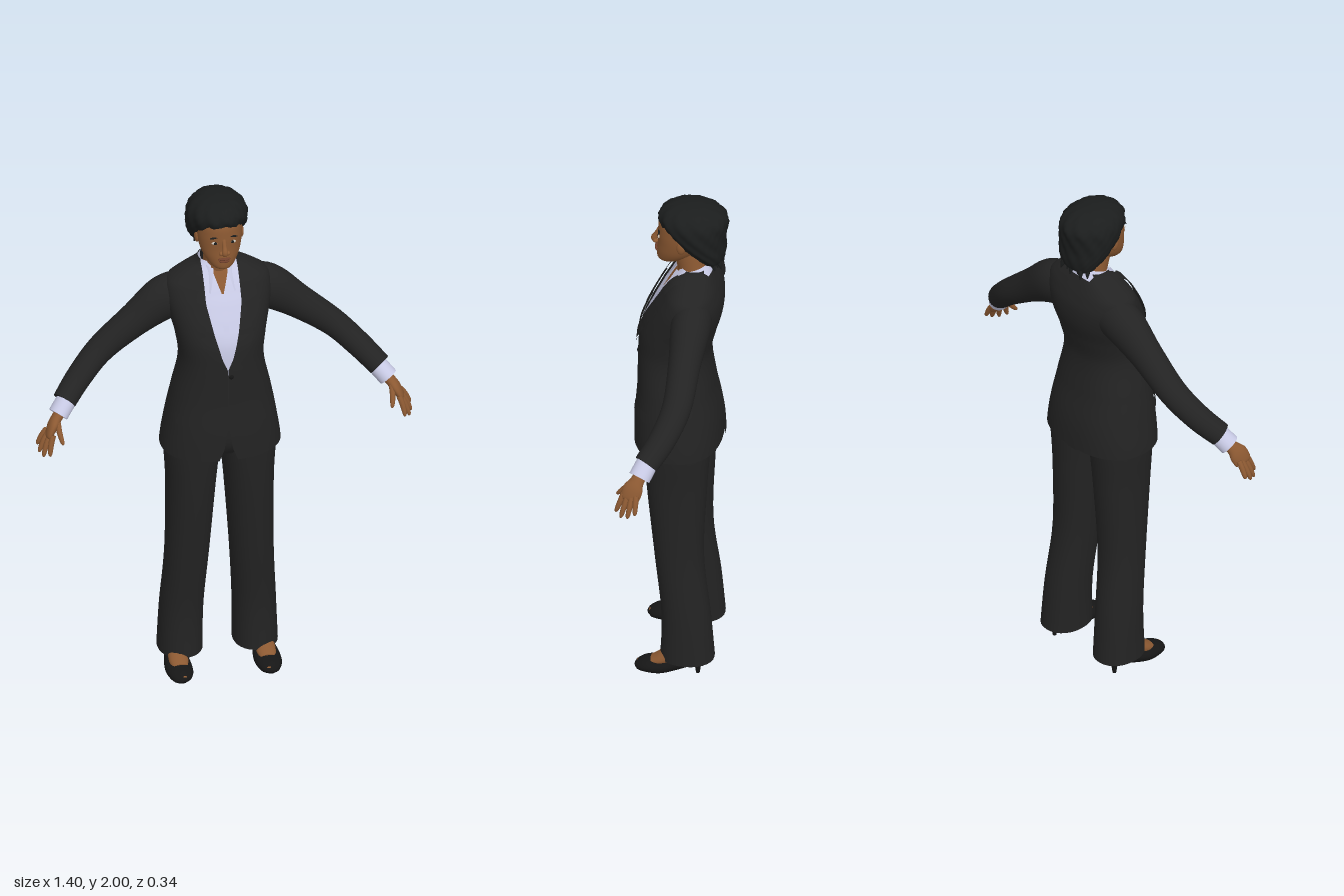
import * as THREE from 'three';

const mat = (name, color, double) => {
  const m = new THREE.MeshStandardMaterial({ color });
  m.name = name;
  if (double) m.side = THREE.DoubleSide;
  return m;
};
const M = {
  suit: mat('black suit', 0x232323, true),
  shirt: mat('pale shirt', 0xc9cbe6, true),
  skin: mat('brown skin', 0x8c5932, true),
  hair: mat('black hair', 0x1b1d1d),
  shoe: mat('black shoe', 0x161616),
  lip: mat('lip brown', 0x70402c),
  eye: mat('eye white', 0xc9c0b4),
};

const spow = (v, p) => Math.sign(v) * Math.abs(v) ** p;
const cubic = (a, b, c, d, t) =>
  b + 0.5 * t * (c - a + t * (2 * a - 5 * b + 4 * c - d + t * (3 * (b - c) + d - a)));
const smooth = (rows, i, f) => {
  const r = k => rows[Math.max(0, Math.min(rows.length - 1, k))];
  return rows[0].map((_, k) => cubic(r(i - 1)[k], r(i)[k], r(i + 1)[k], r(i + 2)[k], f));
};
// Piecewise linear profile of [y, value] pairs
const lerpY = (tab, y) => {
  if (y <= tab[0][0]) return tab[0][1];
  for (let i = 1; i < tab.length; i++) {
    const [a, b] = [tab[i - 1], tab[i]];
    if (y <= b[0]) return a[1] + (b[1] - a[1]) * (y - a[0]) / (b[0] - a[0]);
  }
  return tab[tab.length - 1][1];
};

// Surface from rows of points; 'around' may wrap
function grid(rows, closed) {
  const n = rows[0].length, pos = rows.flat().flatMap(p => [p.x, p.y, p.z]), idx = [];
  for (let i = 0; i < rows.length - 1; i++) {
    for (let j = 0; j < (closed ? n : n - 1); j++) {
      const k = (j + 1) % n, a = i * n + j, b = i * n + k;
      idx.push(a, b, a + n, b, b + n, a + n);
    }
  }
  const g = new THREE.BufferGeometry();
  g.setAttribute('position', new THREE.Float32BufferAttribute(pos, 3));
  g.setIndex(idx);
  g.computeVertexNormals();
  return g;
}

// Capped tube through [x, y, z, radius along side, radius across]
function sweep(rows, { side = [1, 0, 0], axis = null, n = 28, steps = 6, p = 1, bump = null } = {}) {
  const samples = [];
  for (let i = 0; i < rows.length - 1; i++)
    for (let s = 0; s < steps; s++) samples.push(smooth(rows, i, s / steps));
  samples.push(rows[rows.length - 1]);
  const C = samples.map(s => new THREE.Vector3(s[0], s[1], s[2]));
  const rings = samples.map((s, i) => {
    const t = axis ? new THREE.Vector3(...axis)
      : C[Math.min(i + 1, C.length - 1)].clone().sub(C[Math.max(i - 1, 0)]).normalize();
    const u = new THREE.Vector3(...side);
    u.addScaledVector(t, -u.dot(t)).normalize();
    const v = t.clone().cross(u);
    return Array.from({ length: n }, (_, j) => {
      const a = j / n * Math.PI * 2, k = bump ? bump(a, C[i].y) : 1;
      return C[i].clone().addScaledVector(u, spow(Math.cos(a), p) * s[3] * k)
        .addScaledVector(v, spow(Math.sin(a), p) * s[4] * k);
    });
  });
  const last = rings.length - 1, point = c => Array.from({ length: n }, () => c);
  return grid([point(C[0]), rings[0], ...rings, rings[last], point(C[last])], true);
}

// Torso profile: y, half width, front z, back z
const TORSO = [
  [0.972, 0.222, 0.168, -0.157], [1.08, 0.207, 0.167, -0.15], [1.2, 0.185, 0.158, -0.128],
  [1.35, 0.156, 0.156, -0.112], [1.45, 0.166, 0.148, -0.132], [1.53, 0.185, 0.118, -0.153],
  [1.6, 0.197, 0.083, -0.155], [1.655, 0.187, 0.052, -0.14], [1.69, 0.135, 0.03, -0.125],
  [1.72, 0.08, 0.012, -0.112], [1.735, 0.07, 0.005, -0.105],
];
const P = 0.86;
function torsoAt(y) {
  let i = 0;
  while (i < TORSO.length - 2 && y > TORSO[i + 1][0]) i++;
  return smooth(TORSO, i, (y - TORSO[i][0]) / (TORSO[i + 1][0] - TORSO[i][0]));
}
function torsoPoint(y, a, off) {
  const [, rx, zf, zb] = torsoAt(y);
  return new THREE.Vector3((rx + off) * spow(Math.sin(a), P), y + (y > 1.5 ? off * 0.6 : 0),
    (zf + zb) / 2 + ((zf - zb) / 2 + off) * spow(Math.cos(a), P));
}
const angleAt = (y, x) => Math.asin(Math.min(0.95, x / torsoAt(y)[1]) ** (1 / P));
// Cloth patch on the torso between two angles given by height
function patch(y0, y1, lo, hi, off, nu = 16, nv = 24) {
  return grid(Array.from({ length: nv + 1 }, (_, i) => {
    const y = y0 + (y1 - y0) * i / nv, a = lo(y), b = hi(y);
    return Array.from({ length: nu + 1 }, (_, j) => torsoPoint(y, a + (b - a) * j / nu, off));
  }));
}

export function createModel() {
  const model = new THREE.Group();
  model.name = 'womanInSuit';
  const add = (name, geo, m) => {
    const mesh = new THREE.Mesh(geo, m);
    mesh.name = name;
    model.add(mesh);
    return mesh;
  };
  const ball = (name, m, c, s) => {
    const b = add(name, new THREE.SphereGeometry(1, 20, 14), m);
    b.position.set(...c);
    b.scale.set(...s);
    return b;
  };
  const Y = [0, 1, 0];

  // Jacket, open in a V over the shirt and cut away at the hem
  const vEdge = [[0.972, 0.035], [1.02, 0.016], [1.12, 0.002], [1.355, 0.001], [1.4, 0.02],
    [1.5, 0.046], [1.6, 0.066], [1.7, 0.066]];
  const open = y => angleAt(y, lerpY(vEdge, y));
  add('jacket', patch(0.972, 1.735, open, y => Math.PI * 2 - open(y), 0, 72, 72), M.suit);
  add('backVent', patch(0.972, 1.16, () => Math.PI - 0.02, () => Math.PI + 0.14, 0.005, 6, 8), M.suit);
  ball('jacketButton', M.shoe, [0.012, 1.325, 0.156], [0.009, 0.009, 0.005]);
  add('hips', sweep([[0, 0.95, 0, 0.15, 0.09], [0, 1.02, 0, 0.195, 0.12], [0, 1.2, 0, 0.16, 0.11]],
    { axis: Y }), M.suit);

  // Open neck and shirt
  add('chest', patch(1.56, 1.735, () => -1, () => 1, -0.012), M.skin);
  add('neck', sweep([[0, 1.64, -0.055, 0.06, 0.06], [0, 1.72, -0.04, 0.052, 0.054],
    [0, 1.8, -0.02, 0.054, 0.056]], { axis: Y }), M.skin);
  add('shirtPlacket', patch(1.35, 1.63, y => -angleAt(y, 0.011), y => angleAt(y, 0.011), -0.002, 4), M.shirt);

  const lapelWidth = [[1.36, 0], [1.45, 0.05], [1.59, 0.072], [1.6, 0.045], [1.612, 0.06], [1.7, 0.035]];
  for (const s of [1, -1]) {
    const side = s > 0 ? 'left' : 'right';
    const both = (lo, hi) => s > 0 ? [lo, hi] : [y => -hi(y), y => -lo(y)];
    const mx = rows => rows.map(([x, ...r]) => [x * s, ...r]);

    add(side + 'Shirt', patch(1.33, 1.735, ...both(
      y => angleAt(y, lerpY([[1.62, 0], [1.72, 0.036]], y)), () => 1.25), -0.006), M.shirt);
    add(side + 'Lapel', patch(1.36, 1.715, ...both(open,
      y => angleAt(y, lerpY(vEdge, y) + lerpY(lapelWidth, y))), 0.008, 8, 50), M.suit);
    add(side + 'PocketFlap', patch(1.115, 1.155, ...both(
      y => angleAt(y, 0.085), y => angleAt(y, 0.178)), 0.006, 8, 4), M.suit);

    // Arm
    add(side + 'Sleeve', sweep(mx([[0.11, 1.585, -0.06, 0.07, 0.08], [0.19, 1.565, -0.06, 0.073, 0.085],
      [0.3, 1.488, -0.055, 0.06, 0.064], [0.43, 1.385, -0.045, 0.054, 0.051],
      [0.52, 1.3, -0.005, 0.05, 0.047], [0.587, 1.233, 0.045, 0.046, 0.044]]), { side: [0, 0, 1] }), M.suit);
    add(side + 'Cuff', sweep(mx([[0.56, 1.255, 0.03, 0.04, 0.037], [0.615, 1.19, 0.066, 0.041, 0.037]]),
      { side: [0, 0, 1] }), M.shirt);
    add(side + 'Palm', sweep(mx([[0.59, 1.215, 0.052, 0.024, 0.02], [0.622, 1.18, 0.073, 0.026, 0.02],
      [0.64, 1.155, 0.086, 0.037, 0.019], [0.655, 1.125, 0.095, 0.035, 0.014],
      [0.659, 1.117, 0.097, 0.026, 0.008]]), { side: [-0.15, 0.1, 1] }), M.skin);
    const fingers = { // base and tip
      indexFinger: [[0.645, 1.135, 0.12], [0.661, 1.063, 0.147]],
      middleFinger: [[0.653, 1.13, 0.105], [0.682, 1.052, 0.126]],
      ringFinger: [[0.658, 1.13, 0.088], [0.693, 1.058, 0.1]],
      littleFinger: [[0.66, 1.137, 0.072], [0.695, 1.075, 0.072]],
      thumb: [[0.622, 1.172, 0.095], [0.612, 1.108, 0.15]],
    };
    for (const [name, [a, b]] of Object.entries(fingers)) {
      const at = (t, r) => [...a.map((v, k) => v + (b[k] - v) * t + (k === 0 ? 0.012 * t * (1 - t) : 0)), r, r];
      add(side + name[0].toUpperCase() + name.slice(1), sweep(
        mx([at(0, 0.011), at(0.4, 0.0105), at(0.8, 0.0085), at(0.96, 0.005), at(1, 0.001)]),
        { side: [0, 0, 1], n: 10, steps: 3 }), M.skin);
    }

    // Leg and shoe
    add(side + 'TrouserLeg', sweep(mx([[0.14, 0.063, -0.043, 0.083, 0.1], [0.135, 0.25, -0.037, 0.08, 0.09],
      [0.12, 0.5, -0.01, 0.081, 0.09], [0.108, 0.8, 0, 0.091, 0.111], [0.104, 0.98, 0, 0.103, 0.122],
      [0.1, 1.1, 0, 0.095, 0.12]]), { axis: Y, p: 0.92 }), M.suit);
    add(side + 'Foot', sweep(mx([[0.163, 0.045, 0.085, 0.028, 0.014], [0.163, 0.056, 0.05, 0.036, 0.024],
      [0.16, 0.09, -0.005, 0.034, 0.032], [0.155, 0.14, -0.04, 0.03, 0.03]])), M.skin);
    add(side + 'Shoe', sweep(mx([[0.163, 0.014, 0.143, 0.012, 0.008], [0.164, 0.02, 0.132, 0.032, 0.018],
      [0.165, 0.027, 0.1, 0.047, 0.026], [0.165, 0.03, 0.05, 0.05, 0.029], [0.163, 0.047, -0.01, 0.041, 0.029],
      [0.16, 0.073, -0.065, 0.036, 0.033], [0.16, 0.08, -0.098, 0.016, 0.022]])), M.shoe);
    ball(side + 'Toes', M.skin, [0.16 * s, 0.03, 0.134], [0.015, 0.008, 0.008]);
    const heel = add(side + 'Heel', new THREE.CylinderGeometry(0.016, 0.007, 0.065, 14), M.shoe);
    heel.position.set(0.16 * s, 0.0325, -0.084);

    // Face details
    ball(side + 'Eye', M.eye, [0.032 * s, 1.862, 0.077], [0.014, 0.006, 0.005]);
    ball(side + 'Iris', M.hair, [0.032 * s, 1.862, 0.08], [0.006, 0.006, 0.0035]);
    ball(side + 'Eyebrow', M.hair, [0.034 * s, 1.884, 0.076], [0.018, 0.003, 0.005]).rotation.z = -0.12 * s;
    ball(side + 'Nostril', M.skin, [0.012 * s, 1.824, 0.093], [0.009, 0.008, 0.01]);
    ball(side + 'Ear', M.skin, [0.083 * s, 1.848, -0.01], [0.009, 0.026, 0.016]);
  }

  // Shirt collar folded round the neck, lower at the front
  add('shirtCollar', grid(Array.from({ length: 6 }, (_, i) => {
    const k = 1 - i / 5, a0 = 0.4 + 0.15 * k;
    return Array.from({ length: 41 }, (_, j) => {
      const a = a0 + (Math.PI * 2 - 2 * a0) * j / 40, f = (1 + Math.cos(a)) / 2;
      return new THREE.Vector3(Math.sin(a) * (0.062 + 0.024 * k),
        1.755 - 0.045 * f - k * (0.035 + 0.05 * f),
        -0.045 + Math.cos(a) * (0.064 + k * (0.01 + 0.052 * f)));
    });
  })), M.shirt);

  // Head
  add('head', sweep([[0, 1.742, 0.045, 0.018, 0.024], [0, 1.755, 0.04, 0.042, 0.047],
    [0, 1.79, 0.016, 0.066, 0.073], [0, 1.83, 0, 0.079, 0.086], [0, 1.88, -0.01, 0.085, 0.095],
    [0, 1.93, -0.018, 0.082, 0.095], [0, 1.97, -0.02, 0.05, 0.06]], { axis: Y, n: 36 }), M.skin);
  add('nose', sweep([[0, 1.88, 0.078, 0.008, 0.006], [0, 1.85, 0.089, 0.009, 0.01],
    [0, 1.828, 0.099, 0.012, 0.013], [0, 1.816, 0.095, 0.008, 0.007]], { n: 14 }), M.skin);
  ball('upperLip', M.lip, [0, 1.796, 0.088], [0.023, 0.005, 0.009]);
  ball('lowerLip', M.lip, [0, 1.786, 0.087], [0.02, 0.006, 0.009]);

  // Short wavy hair, full at the back, with a few loose tufts
  const wave = (a, y) => 1 + 0.018 * Math.sin(a * 11 + y * 70) + 0.014 * Math.sin(a * 23 - y * 130);
  add('hair', sweep([[0, 1.757, -0.12, 0.05, 0.025], [0, 1.775, -0.115, 0.075, 0.045],
    [0, 1.81, -0.098, 0.095, 0.068], [0, 1.85, -0.074, 0.108, 0.091], [0, 1.9, -0.053, 0.113, 0.117],
    [0, 1.94, -0.044, 0.108, 0.127], [0, 1.97, -0.04, 0.088, 0.106], [0, 1.99, -0.037, 0.054, 0.066],
    [0, 1.997, -0.036, 0.01, 0.012]], { axis: Y, n: 80, bump: wave }), M.hair);
  for (let i = 0; i < 9; i++) {
    const x = (i - 4) * 0.014, z = -0.13 + 0.012 * Math.cos(i * 2.3);
    add('napeTuft', sweep([[x, 1.785, z, 0.012, 0.012], [x * 1.1, 1.765, z - 0.008, 0.009, 0.009],
      [x * 1.2, 1.745 + 0.006 * Math.sin(i * 4), z - 0.014, 0.002, 0.002]], { n: 8, steps: 3 }), M.hair);
  }
  return model;
}
